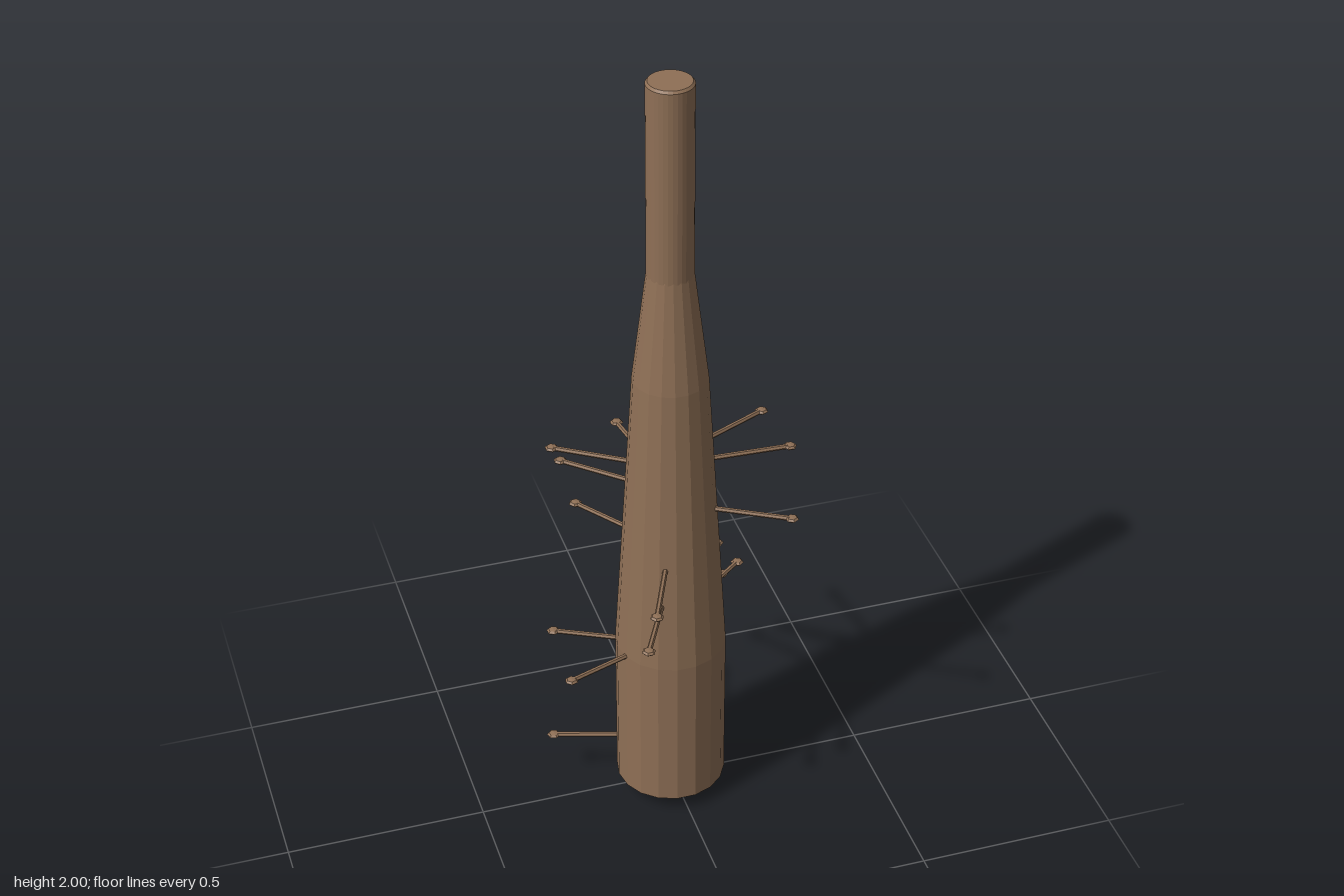
import * as THREE from 'three';

const wood = new THREE.MeshStandardMaterial({ color: 0x8f7056, flatShading: true });
wood.name = 'brown wood';

// Solid of revolution from [radius, height] pairs, listed bottom to top
function turned(name, profile, sides) {
  const points = profile.map(([r, y]) => new THREE.Vector2(r, y));
  const mesh = new THREE.Mesh(new THREE.LatheGeometry(points, sides, Math.PI / 2), wood);
  mesh.name = name;
  return mesh;
}

// Horizontal spike pointing along +x, with a flattened head at the tip
function makeSpike() {
  const spike = new THREE.Group();
  spike.name = 'spike';
  const inner = 0.07, outer = 0.297;
  const shaft = new THREE.Mesh(new THREE.CylinderGeometry(0.0065, 0.0065, outer - inner, 6), wood);
  shaft.name = 'spikeShaft';
  shaft.rotation.z = -Math.PI / 2;
  shaft.position.x = (inner + outer) / 2;
  const head = new THREE.Mesh(new THREE.SphereGeometry(0.017, 6, 4), wood);
  head.name = 'spikeHead';
  head.scale.y = 0.4;
  head.position.x = outer;
  spike.add(shaft, head);
  return spike;
}

// [angle in degrees from +x towards +z, height]
const spikes = [
  [-99.3, 0.92], [-76.3, 0.247], [-125.1, 0.735], [-136.9, 0.9],
  [-146.6, 0.97], [-153.2, 0.437], [-162.7, 0.14], [161.2, 0.46],
  [117.1, 0.645], [113.3, 0.75], [29.8, 0.867], [2.4, 0.98],
  [-24.5, 1.0], [-37.9, 0.505], [-46.6, 0.45], [-49.2, 0.545],
];

export function createModel() {
  const club = new THREE.Group();
  club.name = 'spikedClub';
  club.position.set(-0.006, 0, 0.009);

  // Heavy striking end with a shallow pointed base, tapering to the grip
  club.add(turned('clubBody', [[0, 0], [0.137, 0.043], [0.137, 0.46], [0.091, 1.23], [0.056, 1.515], [0, 1.515]], 18));
  // Straight grip with a slightly softened end
  club.add(turned('handle', [[0.056, 1.51], [0.056, 1.994], [0.051, 2], [0, 2]], 32));

  for (const [degrees, y] of spikes) {
    const spike = makeSpike();
    spike.rotation.y = -THREE.MathUtils.degToRad(degrees);
    spike.position.y = y;
    club.add(spike);
  }

  const model = new THREE.Group();
  model.add(club);
  return model;
}
